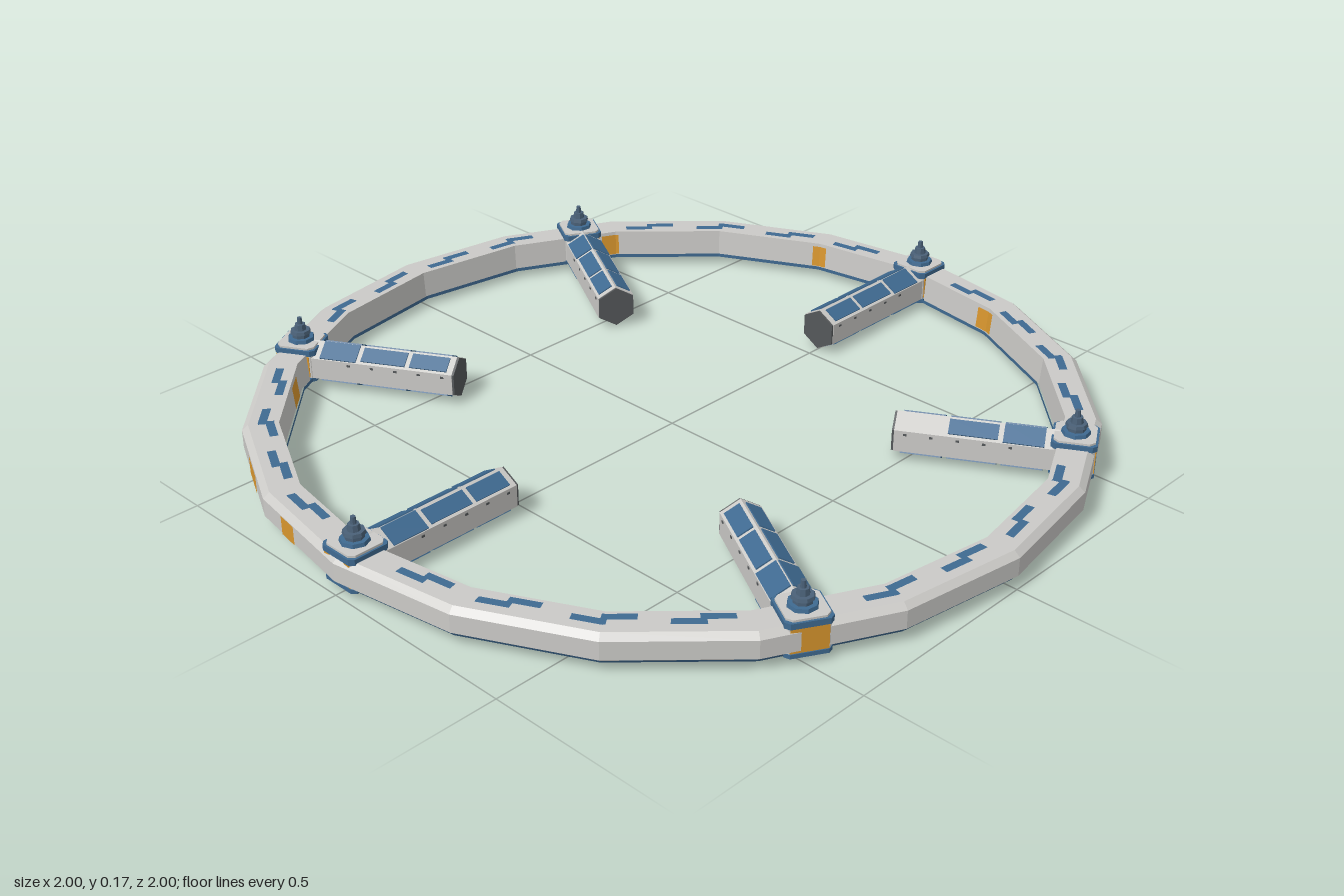
import * as THREE from 'three';

const mat = (name, color) => {
  const m = new THREE.MeshStandardMaterial({ color });
  m.name = name;
  return m;
};
const RAD = Math.PI / 180;
const SEG = 18; // degrees per ring side

export function createModel() {
  const grey = mat('hull grey', 0xcbcac7);
  const blue = mat('panel blue', 0x3f6a91);
  const gold = mat('gold', 0xd8962e);
  const dark = mat('dark grey', 0x55585a);
  const steel = mat('steel blue', 0x4a6178);

  const flat = (geo) => {
    const g = geo.index ? geo.toNonIndexed() : geo;
    g.computeVertexNormals();
    return g;
  };
  const add = (parent, name, geo, material, x = 0, y = 0, z = 0) => {
    const mesh = new THREE.Mesh(flat(geo), material);
    mesh.name = name;
    mesh.position.set(x, y, z);
    parent.add(mesh);
    return mesh;
  };
  const lathe = (pts) => new THREE.LatheGeometry(pts.map(([r, y]) => new THREE.Vector2(r, y)), 360 / SEG);

  const model = new THREE.Group();
  model.name = 'ringStation';

  // Twenty-sided ring with a blue underside
  const ring = new THREE.Group();
  ring.name = 'ring';
  model.add(ring);
  add(ring, 'ringHull', lathe([[0.985, 0.024], [1, 0.036], [1, 0.08], [0.985, 0.093], [0.915, 0.093], [0.91, 0.024]]), grey);
  add(ring, 'ringUnderside', lathe([[0.904, 0.03], [0.904, 0.021], [0.986, 0.021], [0.99, 0.028]]), blue);

  // Thin plate following the ring's flat sides; a0..a1 in degrees, p0 and p1 are [radius, height]
  const ringPlate = (name, a0, a1, p0, p1, material) => {
    const point = (a, [r, y]) => {
      const off = (((a % SEG) + SEG) % SEG) - SEG / 2;
      const d = (r * Math.cos(SEG / 2 * RAD)) / Math.cos(off * RAD);
      return [d * Math.sin(a * RAD), y, d * Math.cos(a * RAD)];
    };
    const stops = [a0];
    for (let a = (Math.floor(a0 / SEG) + 1) * SEG; a < a1; a += SEG) stops.push(a);
    stops.push(a1);
    const v = [];
    for (let i = 0; i + 1 < stops.length; i++) {
      const [a, b] = [stops[i], stops[i + 1]];
      const [A, B, C, D] = [point(a, p0), point(b, p0), point(b, p1), point(a, p1)];
      v.push(...A, ...B, ...C, ...A, ...C, ...D);
    }
    const g = new THREE.BufferGeometry();
    g.setAttribute('position', new THREE.Float32BufferAttribute(v, 3));
    add(ring, name, g, material);
  };

  // Gold patches on the outer wall: [centre angle, half width]
  for (const [a, w] of [[206.6, 1.5], [228, 3], [258, 3], [265, 3.5], [276, 2.5], [314.5, 3.2], [333.6, 2.8], [348.5, 1.6]])
    ringPlate('outerGoldPatch', a - w, a + w, [1.002, 0.035], [1.002, 0.081], gold);

  // Patches on the inner wall
  for (const [a, w] of [[23, 2.2], [53, 2.5], [88, 2.5], [162.5, 1.8], [198, 1.2], [235, 1.5], [311, 2], [347, 1.2]])
    ringPlate('innerGoldPatch', a - w, a + w, [0.912, 0.085], [0.907, 0.03], gold);
  ringPlate('innerGoldPatch', 70, 74, [0.912, 0.085], [0.907, 0.03], gold);
  ringPlate('innerBluePatch', 64, 69, [0.912, 0.085], [0.907, 0.03], blue);

  // Stepped blue plates along the ring's top
  for (let hub = 0; hub < 360; hub += 60)
    for (const off of [12, 24, 36, 48]) {
      const a = hub + off;
      ringPlate('topPlate', a - 4, a + 0.4, [0.963, 0.095], [0.943, 0.095], blue);
      ringPlate('topPlate', a - 0.4, a + 4, [0.946, 0.095], [0.926, 0.095], blue);
    }

  // Square outline with cut corners, extruded upwards
  const slab = (half, cut, y0, y1) => {
    const s = new THREE.Shape();
    const c = half - cut;
    [[half, -c], [half, c], [c, half], [-c, half], [-half, c], [-half, -c], [-c, -half], [c, -half]]
      .forEach(([x, y], i) => (i ? s.lineTo(x, y) : s.moveTo(x, y)));
    const g = new THREE.ExtrudeGeometry(s, { depth: y1 - y0, bevelEnabled: false });
    return g.rotateX(-Math.PI / 2).translate(0, y0, 0);
  };

  // Hub where an arm meets the ring; local +z points outwards
  const buildHub = (parent, striped) => {
    const hub = new THREE.Group();
    hub.name = 'hub';
    hub.position.z = 0.94;
    parent.add(hub);
    add(hub, 'hubBody', slab(0.048, 0.006, 0.028, 0.092), grey);
    add(hub, 'hubTopTrim', slab(0.052, 0.01, 0.09, 0.104), blue);
    add(hub, 'hubTopPlate', slab(0.047, 0.012, 0.1, 0.109), grey);
    add(hub, 'hubBottomTrim', slab(0.051, 0.01, 0.02, 0.03), blue);
    add(hub, 'hubBottomPlate', slab(0.038, 0.01, 0.01, 0.021), blue);
    // Gold faces, outwards and inwards
    if (striped) for (const s of [-1, 1])
      add(hub, 'hubGoldStripe', new THREE.BoxGeometry(0.018, 0.058, 0.006), gold, s * 0.032, 0.06, 0.047);
    else add(hub, 'hubGoldFace', new THREE.BoxGeometry(0.082, 0.058, 0.006), gold, 0, 0.06, 0.047);
    for (const s of [-1, 1])
      add(hub, 'hubSidePlate', new THREE.BoxGeometry(0.004, 0.054, 0.02), gold, s * 0.048, 0.06, -0.028);
    // Stepped mast
    for (const [r0, r1, y0, y1, m] of [[0.034, 0.032, 0.108, 0.118, blue], [0.022, 0.022, 0.117, 0.129, steel],
      [0.026, 0.024, 0.128, 0.136, steel], [0.015, 0.013, 0.135, 0.151, steel], [0.007, 0.006, 0.15, 0.168, steel]])
      add(hub, 'mast', new THREE.CylinderGeometry(r1, r0, y1 - y0, 8), m, 0, (y0 + y1) / 2, 0);
  };

  // Hexagonal arm pointing at the centre, ridge upwards
  const R = 0.054;
  const AP = R * Math.cos(Math.PI / 6);
  const hexPrism = (r, len) => new THREE.CylinderGeometry(r, r, len, 6).rotateX(Math.PI / 2);
  const buildArm = (parent, bareTip) => {
    const arm = new THREE.Group();
    arm.name = 'arm';
    arm.position.y = 0.057;
    parent.add(arm);
    add(arm, 'armBody', hexPrism(R, 0.37), grey, 0, 0, 0.72);
    add(arm, 'armEndCap', hexPrism(R * 0.97, 0.006), dark, 0, 0, 0.533);
    for (const deg of [30, -30, 150, -150]) {
      const face = new THREE.Group();
      face.name = 'armFace';
      face.rotation.z = deg * RAD;
      arm.add(face);
      for (const [z0, z1, w] of [[0.55, 0.645, 0.04], [0.657, 0.77, 0.04], [0.782, 0.875, 0.05]]) {
        if (bareTip && deg === 30 && z0 < 0.6) continue;
        add(face, 'armPanel', new THREE.BoxGeometry(w, 0.006, z1 - z0), blue, 0, AP, (z0 + z1) / 2);
      }
    }
    // Small ports along both sides
    for (const s of [-1, 1])
      for (const z of [0.56, 0.62, 0.68, 0.74, 0.8])
        add(arm, 'armPort', new THREE.BoxGeometry(0.003, 0.005, 0.008), dark, s * AP, 0.018, z);
  };

  for (let a = 0; a < 360; a += 60) {
    const spoke = new THREE.Group();
    spoke.name = 'spoke';
    spoke.rotation.y = a * RAD;
    model.add(spoke);
    buildHub(spoke, a % 180 === 0);
    buildArm(spoke, a === 120);
  }
  return model;
}
